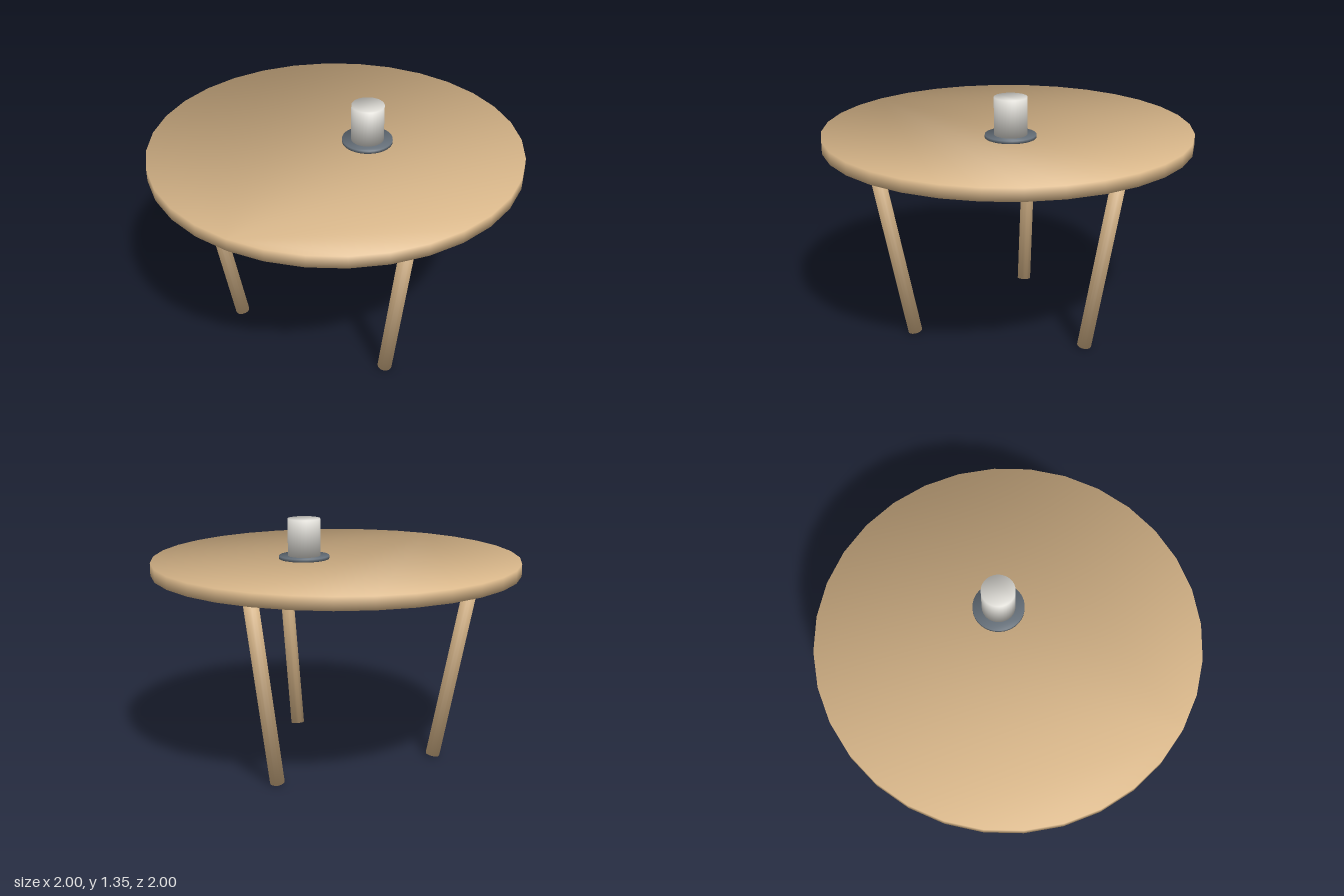
import * as THREE from 'three';

// Solid disc or rod whose normals blend softly over the rims, from radial on the side to upright on the caps
function softCylinder(radius, height, sides) {
  const geometry = new THREE.CylinderGeometry(radius, radius, height, sides, 1, true);
  const index = Array.from(geometry.index.array);
  const low = sides + 1;
  for (let i = 1; i < sides - 1; i++) {
    index.push(0, i, i + 1); // top cap
    index.push(low, low + i + 1, low + i); // bottom cap
  }
  geometry.setIndex(index);
  const { position, normal } = geometry.attributes;
  const n = new THREE.Vector3();
  for (let i = 0; i < position.count; i++) {
    n.set(position.getX(i) / radius, Math.sign(position.getY(i)), position.getZ(i) / radius).normalize();
    normal.setXYZ(i, n.x, n.y, n.z);
  }
  return geometry;
}

export function createModel() {
  const model = new THREE.Group();
  model.name = 'roundTable';

  const material = (name, color) => {
    const m = new THREE.MeshStandardMaterial({ color });
    m.name = name;
    return m;
  };
  const wood = material('wood', 0xdab88b);
  const metal = material('slateMetal', 0x66707a);
  const ceramic = material('paleCeramic', 0xdedcd6);

  // Upright disc standing between two heights
  const disc = (name, mat, radius, bottom, top, x, z, sides = 32) => {
    const mesh = new THREE.Mesh(softCylinder(radius, top - bottom, sides), mat);
    mesh.name = name;
    mesh.position.set(x, (bottom + top) / 2, z);
    model.add(mesh);
  };

  disc('tabletop', wood, 1, 1.067, 1.134, 0, 0);

  // Cup on its saucer, off centre
  disc('saucer', metal, 0.136, 1.134, 1.15, 0.123, -0.126);
  disc('cup', ceramic, 0.088, 1.15, 1.35, 0.123, -0.126);

  // Three splayed legs, wider apart at the top, each with a mounting pad above its foot
  const up = new THREE.Vector3(0, 1, 0);
  ['left', 'right', 'back'].forEach((side, i) => {
    const angle = Math.PI / 6 + (i * Math.PI * 2) / 3;
    const c = Math.cos(angle);
    const s = Math.sin(angle);
    const foot = new THREE.Vector3(c * 0.55, 0.007, s * 0.55);
    const head = new THREE.Vector3(c * 0.75, 1.06, s * 0.75);
    const span = head.clone().sub(foot);
    const leg = new THREE.Mesh(softCylinder(0.039, span.length(), 16), wood);
    leg.name = side + 'Leg';
    leg.position.copy(foot).add(head).multiplyScalar(0.5);
    leg.quaternion.setFromUnitVectors(up, span.normalize());
    model.add(leg);

    disc(side + 'MountingPad', metal, 0.071, 1.04, 1.067, c * 0.55, s * 0.55, 24);
  });

  return model;
}
